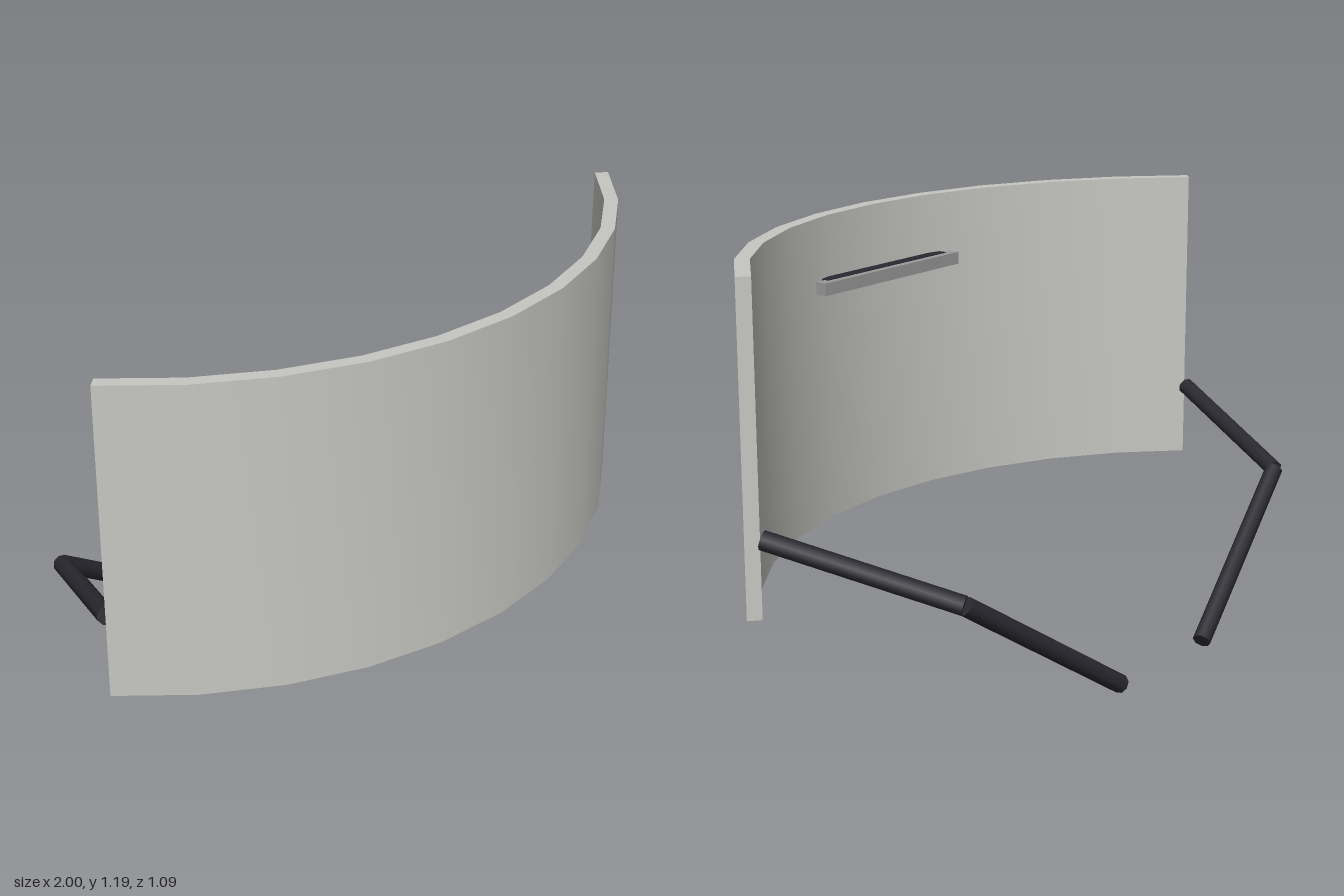
import * as THREE from 'three';
import { toCreasedNormals } from 'three/addons/utils/BufferGeometryUtils.js';

const shieldGrey = new THREE.MeshStandardMaterial({ name: 'shieldGrey', color: 0xc6c6c2 });
const bracketGrey = new THREE.MeshStandardMaterial({ name: 'bracketGrey', color: 0x9a9a9a });
const strapBlack = new THREE.MeshStandardMaterial({ name: 'strapBlack', color: 0x2a2930 });

function addMesh(parent, name, geometry, material) {
  const mesh = new THREE.Mesh(geometry, material);
  mesh.name = name;
  parent.add(mesh);
  return mesh;
}

// Curved plate: an arc band seen from above, extruded upwards
function curvedPanel() {
  const outer = 1.304, inner = 1.264, centreZ = -0.759, half = 0.874, steps = 10;
  const arc = (radius) => Array.from({ length: steps + 1 }, (_, i) => {
    const a = -half + (2 * half * i) / steps;
    return new THREE.Vector2(radius * Math.sin(a), -(centreZ + radius * Math.cos(a)));
  });
  const shape = new THREE.Shape([...arc(outer), ...arc(inner).reverse()]);
  const geometry = new THREE.ExtrudeGeometry(shape, { depth: 0.885, bevelEnabled: false });
  geometry.rotateX(-Math.PI / 2).translate(0, 0.305, 0);
  return toCreasedNormals(geometry, Math.PI / 6);
}

// Straight rod between two points
function rod(parent, name, from, to) {
  const direction = to.clone().sub(from);
  const geometry = new THREE.CylinderGeometry(0.026, 0.026, direction.length(), 8);
  const mesh = addMesh(parent, name, geometry, strapBlack);
  mesh.position.copy(from).add(to).multiplyScalar(0.5);
  mesh.quaternion.setFromUnitVectors(new THREE.Vector3(0, 1, 0), direction.normalize());
}

export function createModel() {
  const model = new THREE.Group();
  model.name = 'faceShield';

  addMesh(model, 'curvedPanel', curvedPanel(), shieldGrey);

  // Brow bar with its dark pad, just inside the panel
  addMesh(model, 'browBar', new THREE.BoxGeometry(0.59, 0.036, 0.035), bracketGrey)
    .position.set(0, 0.995, 0.4475);
  addMesh(model, 'browPad', new THREE.BoxGeometry(0.52, 0.04, 0.034), strapBlack)
    .position.set(0, 0.995, 0.468);

  // Bent straps, mirrored left and right
  for (const side of [1, -1]) {
    const strap = new THREE.Group();
    strap.name = side > 0 ? 'leftStrap' : 'rightStrap';
    const root = new THREE.Vector3(side * 0.97, 0.52, 0.045);
    const elbow = new THREE.Vector3(side * 0.742, 0.383, -0.42);
    const tip = new THREE.Vector3(side * 0.2, 0.023, -0.52);
    rod(strap, 'upperStrap', root, elbow);
    rod(strap, 'lowerStrap', elbow, tip);
    model.add(strap);
  }
  return model;
}
